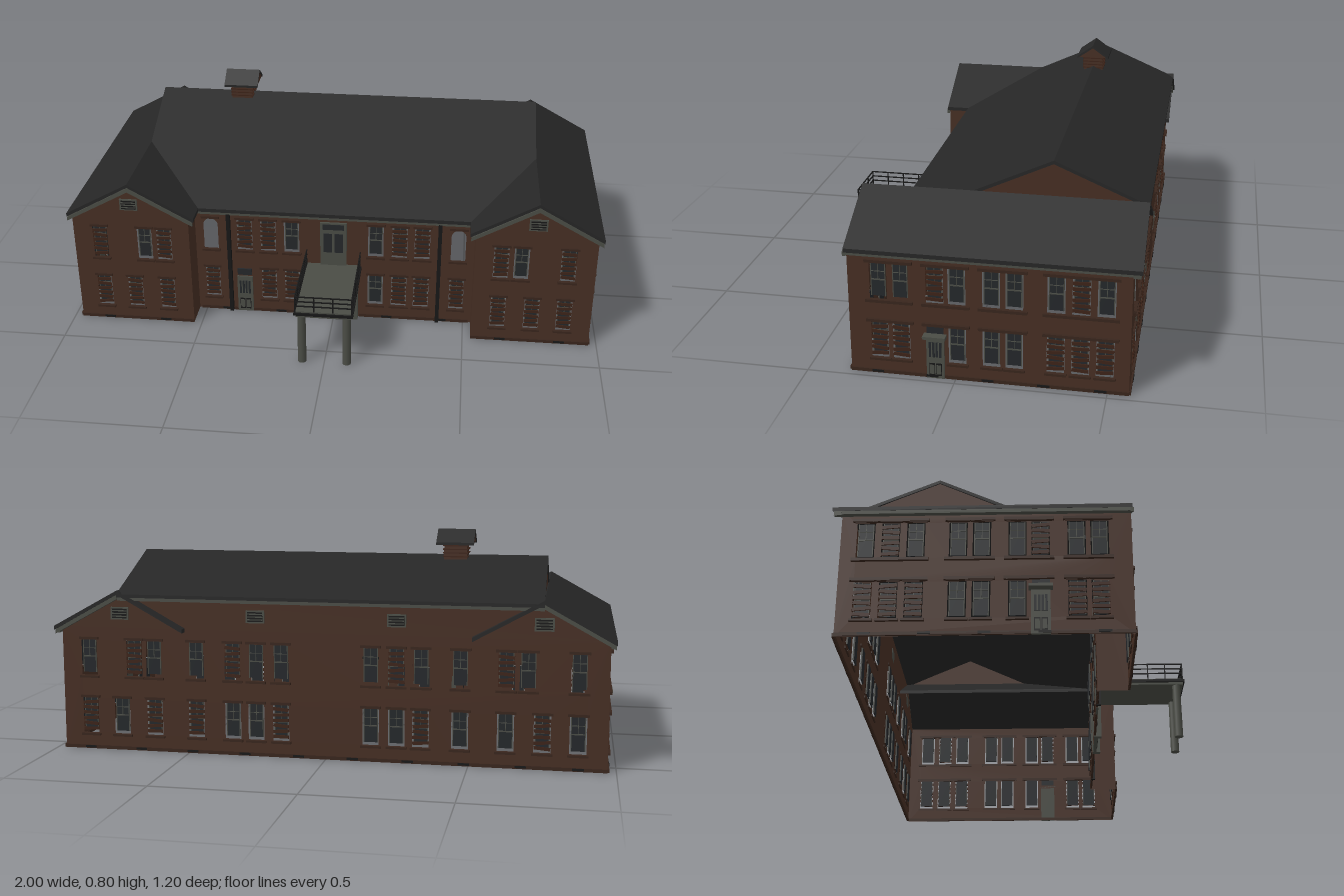
import * as THREE from 'three';
import { mergeGeometries } from 'three/addons/utils/BufferGeometryUtils.js';

const mat = (name, color, side = THREE.FrontSide) => {
  const m = new THREE.MeshStandardMaterial({ color, side });
  m.name = name;
  return m;
};

export function createModel() {
  const M = {
    brick: mat('brick', 0x462e23, THREE.DoubleSide),
    roof: mat('roof slate', 0x262626, THREE.DoubleSide),
    trim: mat('grey trim', 0x4a4c45),
    glass: mat('dark glass', 0x24272a, THREE.DoubleSide),
    board: mat('old boards', 0x3c2318),
    metal: mat('black metal', 0x171717),
    ledge: mat('brick ledge', 0x38251c),
  };
  const model = new THREE.Group();
  model.name = 'schoolhouse';

  const add = (parent, name, geo, material) => {
    const mesh = new THREE.Mesh(geo, material);
    mesh.name = name;
    parent.add(mesh);
    return mesh;
  };
  const box = (w, h, d, x, y, z, tilt = 0) =>
    new THREE.BoxGeometry(w, h, d).rotateZ(tilt).translate(x, y, z);
  const shapeOf = pts => new THREE.Shape(pts.map(p => new THREE.Vector2(p[0], p[1])));
  // profile in x,y run along z
  const alongZ = (pts, z0, z1) =>
    new THREE.ExtrudeGeometry(shapeOf(pts), { depth: z1 - z0, bevelEnabled: false }).translate(0, 0, z0);
  // profile in z,y run along x
  const alongX = (pts, x0, x1) =>
    new THREE.ExtrudeGeometry(shapeOf(pts), { depth: x1 - x0, bevelEnabled: false })
      .rotateY(-Math.PI / 2).translate(x1, 0, 0);
  const holePath = ({ u, y, w, h, arch }) => {
    const p = new THREE.Path(), r = w / 2;
    p.moveTo(u - r, y).lineTo(u + r, y);
    if (arch) p.lineTo(u + r, y + h - r).absarc(u, y + h - r, r, 0, Math.PI, false);
    else p.lineTo(u + r, y + h).lineTo(u - r, y + h);
    p.closePath();
    return p;
  };

  // One wall plane facing local +z, with windows, ledges, doors and vents
  function wall(name, pts, windows, pos, turn, extras) {
    const g = new THREE.Group();
    g.name = name;
    g.position.set(...pos);
    g.rotation.y = turn;
    const shape = shapeOf(pts);
    const parts = { glass: [], trim: [], board: [], ledge: [], metal: [] };
    for (const win of windows) {
      const { u, y, w, h, arch, boarded } = win;
      shape.holes.push(holePath(win));
      parts.ledge.push(box(w + 0.014, 0.008, 0.014, u, y - 0.006, 0.003));
      parts.ledge.push(box(w + 0.014, 0.009, 0.01, u, y + h + 0.006, 0.002));
      if (arch) continue;
      // sash sits inside the opening with a narrow gap
      const pw = w - 0.011, ph = h - 0.01, py = y + h / 2 + 0.004;
      parts.glass.push(box(pw, ph, 0.004, u, py, -0.006));
      parts.trim.push(box(pw, 0.004, 0.004, u, py, -0.003));
      parts.trim.push(box(0.002, ph / 2, 0.003, u, py + ph / 4, -0.003));
      parts.trim.push(box(pw, 0.002, 0.003, u, py + ph / 4, -0.003));
      for (const s of [-1, 1]) parts.trim.push(box(0.003, ph, 0.004, u + s * pw / 2, py, -0.004));
      if (boarded)
        for (let i = 0; i < 6; i++)
          parts.board.push(box(w - 0.002, 0.011, 0.004, u, y + 0.015 + i * (h - 0.03) / 5, 0.002,
            0.09 * Math.sin(i * 2.3 + u * 40)));
    }
    if (extras) extras(parts);
    add(g, name + ' brickwork', new THREE.ShapeGeometry(shape), M.brick);
    const label = { glass: 'panes', trim: 'frames', board: 'boards', ledge: 'ledges', metal: 'ironwork' };
    for (const k in parts)
      if (parts[k].length) add(g, `${name} ${label[k]}`, mergeGeometries(parts[k]), M[k]);
    model.add(g);
  }
  const UP = 0.273, LOW = 0.06, H = 0.128;
  const win = (us, y, boardedAt = [], w = 0.058) =>
    us.map((u, i) => ({ u, y, w, h: H, boarded: boardedAt.includes(i) }));
  const vent = (p, u, y) => {
    p.trim.push(box(0.066, 0.045, 0.006, u, y, 0.002));
    p.metal.push(box(0.054, 0.034, 0.006, u, y, 0.004));
    for (let i = 0; i < 3; i++) p.trim.push(box(0.054, 0.004, 0.008, u, y - 0.01 + i * 0.01, 0.004));
  };
  const door = (p, u, w, h) => {
    p.trim.push(box(w, h, 0.008, u, h / 2, 0.003));
    for (const s of [-1, 1]) {
      p.glass.push(box(w * 0.32, h * 0.36, 0.004, u + s * w * 0.19, h * 0.7, 0.007));
      p.metal.push(box(w * 0.32, h * 0.3, 0.003, u + s * w * 0.19, h * 0.22, 0.0065));
      p.trim.push(box(w * 0.25, h * 0.22, 0.004, u + s * w * 0.19, h * 0.22, 0.0075));
    }
    for (const s of [-1, 1]) p.trim.push(box(0.004, h * 0.36, 0.005, u + s * w * 0.19, h * 0.7, 0.008));
  };
  const base = (p, a, b) => {
    p.ledge.push(box(b - a, 0.012, 0.008, (a + b) / 2, 0.007, 0.002));
    const n = Math.max(1, Math.round((b - a) / 0.2));
    for (let i = 0; i < n; i++) p.metal.push(box(0.04, 0.008, 0.004, a + (i + 0.5) * (b - a) / n, 0.008, 0.006));
  };

  // Wing fronts
  for (const s of [-1, 1]) {
    const name = s > 0 ? 'left wing front' : 'right wing front';
    const m = a => a.map(u => u * s);
    wall(name, [[-0.22, 0], [0.22, 0], [0.22, 0.447], [0, 0.57], [-0.22, 0.447]],
      [...win(m([-0.124, -0.05, 0.12]), UP, [0, 2], 0.055), ...win(m([-0.124, 0.0, 0.12]), LOW, [0, 1, 2], 0.055)],
      [s * 0.75, 0, 0.355], 0, p => { vent(p, 0, 0.5); base(p, -0.22, 0.22); });
    // Short return wall of the wing
    const ret = add(model, 'wing return wall', new THREE.PlaneGeometry(0.105, 0.45), M.brick);
    ret.position.set(s * 0.53, 0.225, 0.3025);
    ret.rotation.y = -s * Math.PI / 2;
  }

  // Recessed middle front with main door, side door and downpipes
  const mid = [-0.34, -0.25, -0.16, 0.16, 0.25, 0.335];
  wall('middle front', [[-0.53, 0], [0.53, 0], [0.53, 0.447], [-0.53, 0.447]],
    [...win(mid, UP, [0, 1, 4, 5]), ...win(mid.slice(1), LOW, [0, 1, 3, 4]),
      ...[-0.47, 0.47].flatMap(u => [{ u, y: UP, w: 0.055, h: H, arch: true }, ...win([u], LOW, [0], 0.055)])],
    [0, 0, 0.25], 0, p => {
      p.trim.push(box(0.19, 0.208, 0.012, 0, 0.104, 0.006));
      for (const s of [-1, 1]) {
        p.trim.push(box(0.022, 0.208, 0.03, s * 0.084, 0.104, 0.012));
        p.metal.push(box(0.014, 0.43, 0.016, s * 0.4, 0.215, 0.008));
        p.glass.push(box(0.042, 0.05, 0.004, s * 0.026, 0.1, 0.0135));
        p.metal.push(box(0.052, 0.13, 0.002, s * 0.027, 0.072, 0.0125));
        p.trim.push(box(0.046, 0.05, 0.004, s * 0.027, 0.035, 0.0135));
      }
      p.glass.push(box(0.11, 0.02, 0.004, 0, 0.152, 0.0125));
      // balcony door above the porch
      p.trim.push(box(0.1, 0.19, 0.008, 0, 0.315, 0.004));
      p.glass.push(box(0.082, 0.022, 0.004, 0, 0.393, 0.008));
      for (const s of [-1, 1]) p.glass.push(box(0.032, 0.08, 0.004, s * 0.021, 0.325, 0.008));
      door(p, -0.345, 0.06, 0.155);
      p.glass.push(box(0.055, 0.026, 0.006, -0.345, 0.175, 0.003));
      base(p, -0.52, -0.1);
      base(p, 0.1, 0.52);
    });

  // Back wall
  const backUp = [-0.87, -0.7, -0.626, -0.47, -0.335, -0.25, -0.16, 0.16, 0.25, 0.335, 0.47, 0.626, 0.7, 0.87];
  const backLow = [-0.87, -0.75, -0.626, -0.47, -0.335, -0.25, -0.16, 0.16, 0.25, 0.335, 0.47, 0.626, 0.75, 0.87];
  wall('back', [[-0.97, 0], [0.97, 0], [0.97, 0.447], [0.75, 0.567], [-0.75, 0.567], [-0.97, 0.447]],
    [...win(backUp, UP, [1, 4, 8, 11]), ...win(backLow, LOW, [0, 2, 3, 6, 9, 12])],
    [0, 0, -0.57], Math.PI, p => {
      for (const u of [-0.75, -0.25, 0.25, 0.75]) vent(p, u, 0.5);
      base(p, -0.97, 0.97);
    });

  // Side walls, each with a door under a small canopy
  const sideZ = [0.253, 0.18, 0.066, -0.007, -0.12, -0.195, -0.33, -0.41, -0.49];
  for (const s of [-1, 1]) {
    const us = sideZ.map(z => -s * z);
    const lowUs = us.filter((_, i) => i !== 2);
    wall(s > 0 ? 'left side' : 'right side',
      [[-s * 0.355, 0], [s * 0.57, 0], [s * 0.57, 0.447], [-s * 0.355, 0.447]],
      [...win(us, UP, [2, 7]), ...win(lowUs, LOW, [0, 1, 5, 6, 7])],
      [s * 0.97, 0, 0], s * Math.PI / 2, p => {
        door(p, us[2], 0.06, 0.152);
        p.trim.push(box(0.076, 0.01, 0.03, us[2], 0.158, 0.015));
        p.glass.push(box(0.056, 0.024, 0.005, us[2], 0.177, 0.002));
        for (const [a, b] of [[0, 1], [2, 3], [4, 5], [6, 8]])
          for (const y of [UP - 0.006, UP + H + 0.008, LOW + H + 0.008])
            p.ledge.push(box(Math.abs(us[a] - us[b]) + 0.085, 0.01, 0.014, (us[a] + us[b]) / 2, y, 0.003));
        const ends = [-s * 0.355, s * 0.57].sort((a, b) => a - b);
        base(p, ends[0], ends[1]);
      });
    // Brick gable end of the high roof
    const gable = add(model, 'main roof gable', alongX([[0.0, 0.57], [-0.285, 0.698], [-0.575, 0.567]], -0.002, 0.002), M.brick);
    gable.position.x = s * 0.744;
  }

  // Roofs
  const t = 0.012;
  add(model, 'main roof', alongX([[0.27, 0.45 - t], [0.27, 0.452], [-0.285, 0.706], [-0.6, 0.572],
    [-0.6, 0.572 - t], [-0.285, 0.706 - t]], -0.75, 0.75), M.roof);
  for (const s of [-1, 1]) {
    const w = add(model, 'wing roof', alongZ([[-0.24, 0.45 - t], [0, 0.582 - t], [0.24, 0.45 - t],
      [0.24, 0.452], [0, 0.584], [-0.24, 0.452]], -0.6, 0.36), M.roof);
    w.position.x = s * 0.75;
    // grey rake boards under the gable edges, front and back
    const rake = [[-0.237, 0.424], [0, 0.554], [0.237, 0.424], [0.237, 0.439], [0, 0.571], [-0.237, 0.439]];
    const r = add(model, 'front rake boards', alongZ(rake, 0.353, 0.364), M.trim);
    r.position.x = s * 0.75;
    const outer = s > 0 ? [rake[1], rake[2], rake[3], rake[4]] : [rake[0], rake[1], rake[4], rake[5]];
    const b = add(model, 'back rake board', alongZ(outer, -0.595, -0.57), M.trim);
    b.position.x = s * 0.75;
    add(model, 'side fascia', box(0.016, 0.016, 0.95, s * 0.978, 0.436, -0.12), M.trim);
  }
  add(model, 'front fascia', box(1.04, 0.014, 0.016, 0, 0.434, 0.258), M.trim);
  add(model, 'back fascia', box(1.5, 0.014, 0.022, 0, 0.555, -0.582), M.trim);

  // Louvred roof turret
  const turret = new THREE.Group();
  turret.name = 'roof turret';
  turret.position.set(-0.424, 0, -0.285);
  add(turret, 'turret body', box(0.082, 0.09, 0.076, 0, 0.702, 0), M.brick);
  for (let i = 0; i < 4; i++)
    add(turret, 'turret louvre', box(0.09, 0.004, 0.084, 0, 0.7 + i * 0.013, 0), M.board);
  add(turret, 'turret gable', alongX([[-0.057, 0.748], [0.057, 0.748], [0, 0.79]], -0.064, 0.064), M.brick);
  add(turret, 'turret roof', alongX([[-0.063, 0.743], [0, 0.787], [0.063, 0.743], [0.063, 0.752],
    [0, 0.797], [-0.063, 0.752]], -0.067, 0.067), M.roof);
  model.add(turret);

  // Entrance porch with railed balcony
  const porch = new THREE.Group();
  porch.name = 'porch';
  add(porch, 'porch deck', box(0.2, 0.024, 0.34, 0, 0.217, 0.42), M.trim);
  add(porch, 'deck edge', box(0.214, 0.01, 0.348, 0, 0.219, 0.422), M.metal);
  const rails = [];
  for (const y of [0.25, 0.269, 0.288]) {
    rails.push(box(0.206, 0.004, 0.004, 0, y, 0.588));
    for (const s of [-1, 1]) rails.push(box(0.004, 0.004, 0.334, s * 0.102, y, 0.422));
  }
  for (const s of [-1, 1]) {
    add(porch, 'porch post', new THREE.CylinderGeometry(0.015, 0.016, 0.207, 12).translate(s * 0.082, 0.1035, 0.565), M.trim);
    for (let i = 0; i < 6; i++) rails.push(box(0.004, 0.066, 0.004, s * 0.102, 0.257, 0.588 - i * 0.065));
    rails.push(box(0.004, 0.066, 0.004, s * 0.034, 0.257, 0.588));
  }
  add(porch, 'balcony railing', mergeGeometries(rails), M.metal);
  model.add(porch);
  return model;
}
